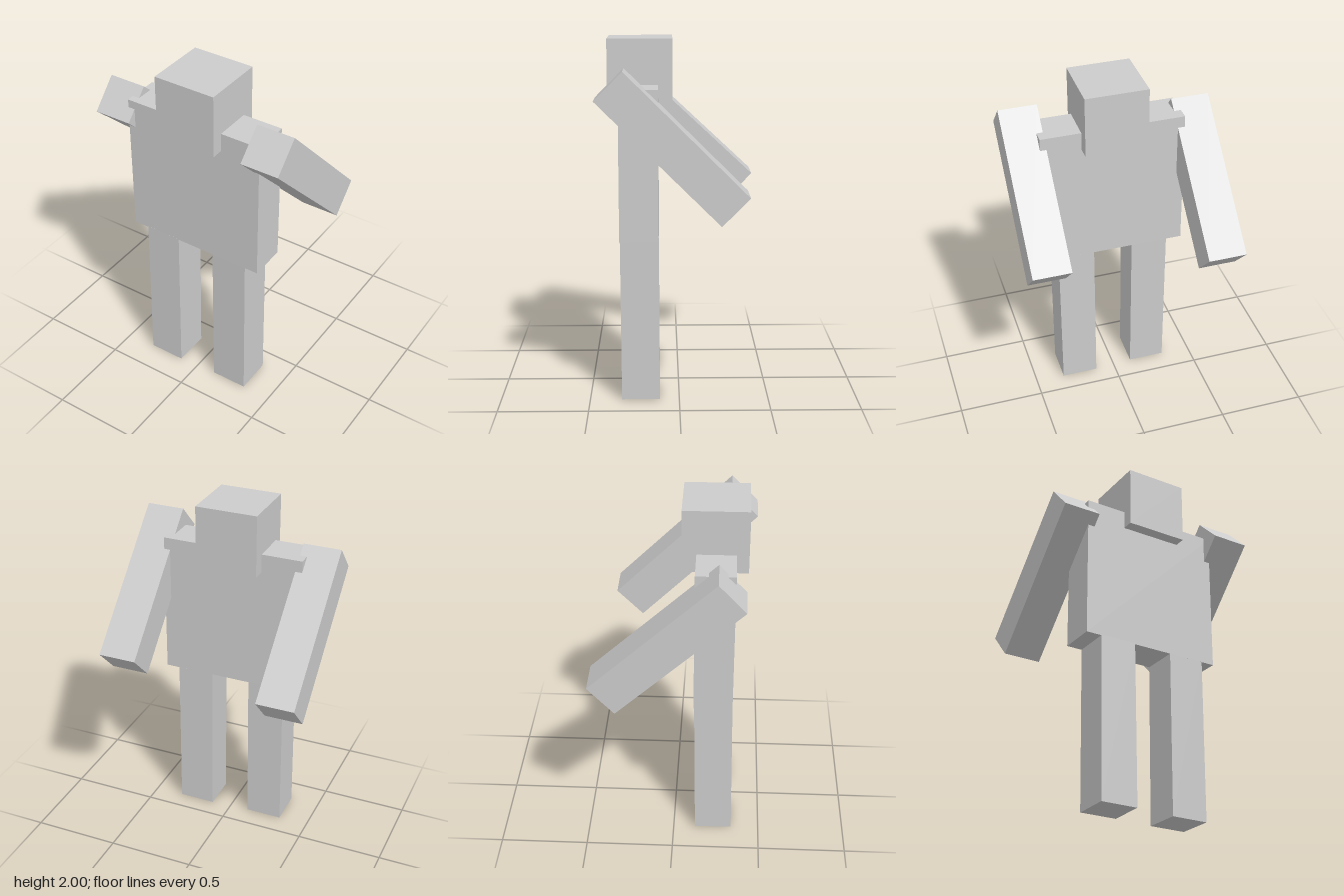
import * as THREE from 'three';

export function createModel() {
  const model = new THREE.Group();
  const material = new THREE.MeshStandardMaterial({ color: 0xcccccc, flatShading: true });

  // Box given by its size and centre, tilted about the x axis
  function block(name, size, centre, tilt = 0) {
    const mesh = new THREE.Mesh(new THREE.BoxGeometry(...size), material);
    mesh.name = name;
    mesh.position.set(...centre);
    mesh.rotation.x = tilt;
    model.add(mesh);
  }

  block('head', [0.357, 0.355, 0.357], [-0.002, 1.8225, 0.213]);
  block('torso', [0.823, 0.82, 0.213], [-0.004, 1.34, 0.219]);

  // Arms swing back at slightly different angles
  block('leftArm', [0.217, 0.932, 0.213], [0.48, 1.457, 0.038], 0.79);
  block('rightArm', [0.217, 0.932, 0.213], [-0.484, 1.403, -0.032], 0.82);

  // Legs, each with a slight tilt
  block('leftLeg', [0.213, 0.932, 0.213], [0.223, 0.467, 0.217], 0.004);
  block('rightLeg', [0.213, 0.932, 0.213], [-0.219, 0.468, 0.226], -0.014);

  return model;
}
